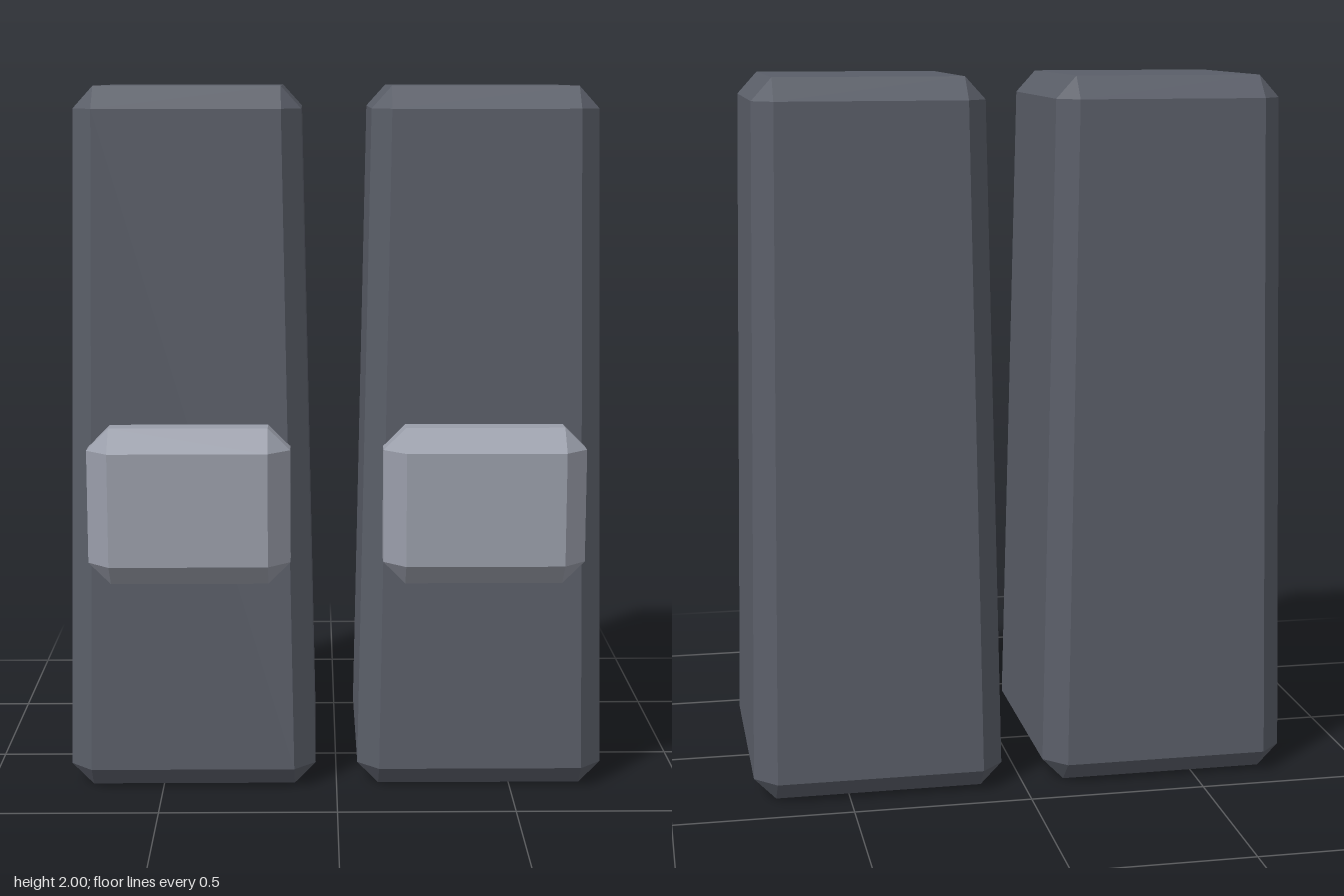
import * as THREE from 'three';
import { ConvexGeometry } from 'three/addons/geometries/ConvexGeometry.js';

// Box with chamfered edges, standing on y = 0, narrowing to `taper` at the top
function chamferedBox(width, height, depth, chamfer, taper = 1) {
  const half = [width / 2, height / 2, depth / 2];
  const points = [];
  for (const sx of [-1, 1]) for (const sy of [-1, 1]) for (const sz of [-1, 1]) {
    // three points per corner, one on each of the adjoining faces
    for (let face = 0; face < 3; face++) {
      const [x, y, z] = [sx, sy, sz].map((s, i) => s * (half[i] - (i === face ? 0 : chamfer)));
      const up = y + height / 2;
      const scale = 1 + (taper - 1) * up / height;
      points.push(new THREE.Vector3(x * scale, up, z * scale));
    }
  }
  return new ConvexGeometry(points);
}

export function createModel() {
  const model = new THREE.Group();
  model.name = 'legPair';

  const darkGrey = new THREE.MeshStandardMaterial({ color: 0x5a5e68 });
  darkGrey.name = 'dark grey';
  const lightGrey = new THREE.MeshStandardMaterial({ color: 0x9a9eaa });
  lightGrey.name = 'light grey';

  const columnGeometry = chamferedBox(0.708, 2, 0.744, 0.062, 0.888);
  const padGeometry = chamferedBox(0.566, 0.443, 0.25, 0.062);

  for (const [side, sign] of [['left', 1], ['right', -1]]) {
    const leg = new THREE.Group();
    leg.name = side + 'Leg';
    leg.position.x = sign * 0.413;

    // tapered column
    const column = new THREE.Mesh(columnGeometry, darkGrey);
    column.name = side + 'Column';
    column.position.z = -0.051;

    // knee pad, sunk into the front
    const pad = new THREE.Mesh(padGeometry, lightGrey);
    pad.name = side + 'KneePad';
    pad.position.set(0, 0.622, 0.298);

    leg.add(column, pad);
    model.add(leg);
  }
  return model;
}
